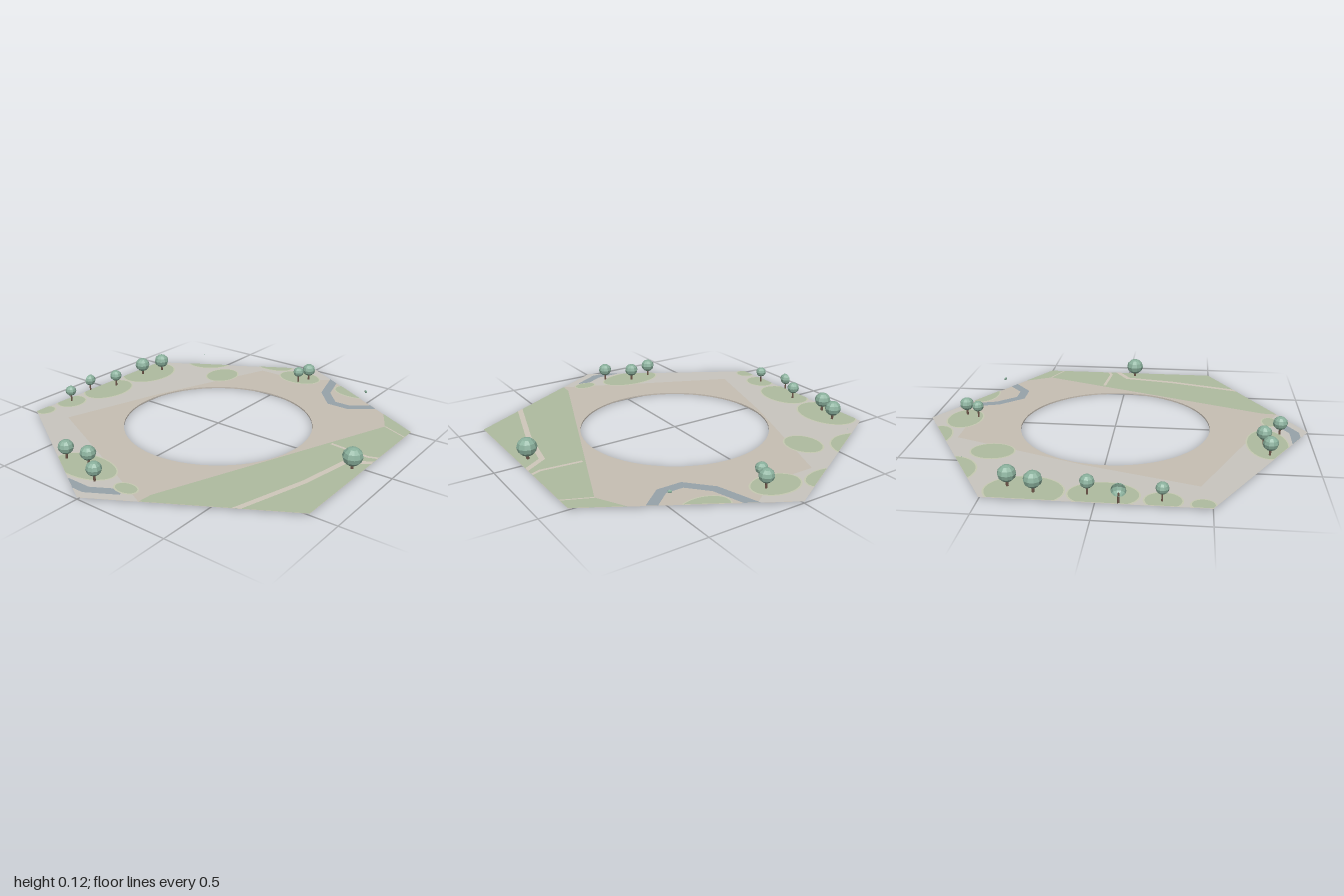
import * as THREE from 'three';

const PLATE_Y = 0.008, HOLE_R = 0.497;
const hex = Array.from({ length: 6 }, (_, i) =>
  [Math.cos(i * Math.PI / 3), Math.sin(i * Math.PI / 3)]);

const material = (color, opts = {}) => new THREE.MeshStandardMaterial({ color, ...opts });
const mats = {
  soil: material(0xc6beb3, { side: THREE.DoubleSide }),
  paving: material(0xc8c5be),
  grass: material(0xaebb9f),
  rim: material(0xc6c9b2),
  path: material(0xcfc7ba),
  water: material(0x97a2a9),
  foliage: material(0x8ab09c, { flatShading: true, side: THREE.DoubleSide }),
  trunk: material(0x6b5347, { flatShading: true, side: THREE.DoubleSide }),
};

// Keep the part of an [x, z] outline that lies inside the hexagon
function clipToHex(points) {
  let out = points;
  for (let i = 0; i < 6; i++) {
    const a = (i + 0.5) * Math.PI / 3, nx = Math.cos(a), nz = Math.sin(a);
    const dist = (p) => p[0] * nx + p[1] * nz - Math.sqrt(3) / 2;
    const next = [];
    out.forEach((p, j) => {
      const q = out[(j + 1) % out.length], dp = dist(p), dq = dist(q);
      if (dp <= 0) next.push(p);
      if ((dp < 0 && dq > 0) || (dp > 0 && dq < 0)) {
        const t = dp / (dp - dq);
        next.push([p[0] + t * (q[0] - p[0]), p[1] + t * (q[1] - p[1])]);
      }
    });
    out = next;
  }
  return out;
}

const toShape = (points) =>
  new THREE.Shape(points.map(([x, z]) => new THREE.Vector2(x, -z)));

function flat(name, shape, mat, y) {
  const mesh = new THREE.Mesh(new THREE.ShapeGeometry(shape, 32).rotateX(-Math.PI / 2), mat);
  mesh.name = name;
  mesh.position.y = y;
  return mesh;
}

// Flat patch on the plate; layers are stacked slightly to avoid overlap
const patch = (name, points, mat, layer) =>
  flat(name, toShape(clipToHex(points)), mat, PLATE_Y + layer * 0.0008);

const ellipse = (x, z, rx, rz) => Array.from({ length: 40 }, (_, i) => {
  const a = i / 40 * Math.PI * 2;
  return [x + rx * Math.cos(a), z + rz * Math.sin(a)];
});

// Outline of a constant-width strip with mitred corners
function strip(line, width) {
  const left = [], right = [];
  const pts = line.map(([x, z]) => new THREE.Vector2(x, z));
  pts.forEach((p, i) => {
    const d0 = p.clone().sub(pts[Math.max(i - 1, 0)]).normalize();
    const d1 = pts[Math.min(i + 1, pts.length - 1)].clone().sub(p).normalize();
    const dir = d0.clone().add(d1).normalize();
    const ref = i === 0 ? d1 : d0;
    const w = width / 2 / Math.max(dir.dot(ref), 0.5);
    left.push([p.x - dir.y * w, p.y + dir.x * w]);
    right.unshift([p.x + dir.y * w, p.y - dir.x * w]);
  });
  return [...left, ...right];
}

// Ball-crowned tree; a half tree is cut open at the plate's back edge
function tree(x, z, r, half = false) {
  const g = new THREE.Group();
  g.name = half ? 'halfTree' : 'tree';
  const arc = half ? Math.PI : Math.PI * 2;
  const crown = new THREE.Mesh(
    new THREE.SphereGeometry(r, half ? 5 : 10, 6, 0, arc), mats.foliage);
  crown.name = 'crown';
  crown.scale.y = 0.92;
  crown.position.y = 0.073;
  const trunk = new THREE.Mesh(
    new THREE.CylinderGeometry(r * 0.13, r * 0.16, 0.052, half ? 3 : 6, 1, true,
      half ? -Math.PI / 2 : 0, arc), mats.trunk);
  trunk.name = 'trunk';
  trunk.position.y = PLATE_Y + 0.026;
  g.add(crown, trunk);
  g.position.set(x, 0, z);
  return g;
}

export function createModel() {
  const model = new THREE.Group();
  model.name = 'hexagonalParkTile';

  // Hexagonal plate with a round opening and its short wall
  const plate = toShape(hex);
  plate.holes.push(new THREE.Path().absarc(0, 0, HOLE_R, 0, Math.PI * 2, true));
  model.add(flat('plate', plate, mats.soil, PLATE_Y));
  const wall = new THREE.Mesh(
    new THREE.CylinderGeometry(HOLE_R, HOLE_R, PLATE_Y, 64, 1, true), mats.soil);
  wall.name = 'openingWall';
  wall.position.y = PLATE_Y / 2;
  model.add(wall);

  // Paved zone along the back and sides
  model.add(patch('pavedZone', [
    [-1, 0], [-0.5, -0.866], [0.5, -0.866], [1, 0], [0.9, 0.17], [0.78, 0],
    [0.78, -0.25], [0.1, -0.505], [-0.45, -0.67], [-0.66, -0.2], [-0.864, 0.235],
  ], mats.paving, 1));

  // Large lawn at the front, with footpaths
  model.add(patch('frontLawn', [
    [-0.88, 0.235], [-0.79, 0.24], [0.48, 0.73], [0.7, 0.61], [0.6, 0.9], [-0.6, 0.9],
  ], mats.grass, 2));
  const paths = [
    [0.028, [[-0.72, 0.58], [-0.64, 0.605], [-0.28, 0.71], [0, 0.76], [0.09, 0.9]]],
    [0.017, [[0.13, 0.61], [0.11, 0.82], [0.14, 0.9]]],
    [0.008, [[0.48, 0.73], [0.41, 0.89]]],
  ];
  for (const [w, line] of paths) model.add(patch('footpath', strip(line, w), mats.path, 3));

  // Streams
  const streams = [
    [[0.98, 0.165], [0.9, 0.19], [0.7, 0.25], [0.59, 0.35], [0.59, 0.46], [0.7, 0.59]],
    [[-0.93, -0.2], [-0.93, -0.02], [-0.85, 0.12]],
  ];
  for (const line of streams) model.add(patch('stream', strip(line, 0.05), mats.water, 2));

  // Oval lawns with pale rims: x, z, radius x, radius z
  const lawns = [
    [-0.46, -0.84, 0.05, 0.045], [-0.29, -0.82, 0.08, 0.07], [-0.03, -0.79, 0.155, 0.11],
    [0.32, -0.79, 0.175, 0.135], [0.73, -0.63, 0.145, 0.15], [0.56, -0.4, 0.105, 0.085],
    [0.9, -0.25, 0.08, 0.13], [0.815, 0, 0.09, 0.125], [0.81, 0.38, 0.08, 0.12],
    [-0.78, -0.18, 0.1, 0.175], [-0.815, 0.115, 0.038, 0.058],
  ];
  for (const [x, z, rx, rz] of lawns) {
    model.add(patch('lawnRim', ellipse(x, z, rx + 0.008, rz + 0.008), mats.rim, 3));
    model.add(patch('lawn', ellipse(x, z, rx, rz), mats.grass, 4));
  }

  // Trees: x, z, crown radius
  const trees = [
    [-0.285, -0.825, 0.03], [0.04, -0.795, 0.034], [0.275, -0.8, 0.043], [0.4, -0.755, 0.043],
    [-0.78, -0.31, 0.039], [-0.76, -0.18, 0.039], [-0.852, -0.045, 0.038],
    [0.82, 0.06, 0.038], [0.75, 0.03, 0.031], [-0.04, 0.815, 0.05],
  ];
  for (const t of trees) model.add(tree(...t));
  model.add(tree(-0.103, -0.866, 0.034, true));

  // Slivers of crowns cut off by the slanted edges
  for (const [x, z, r] of [[0.712, 0.495, 0.012], [0.647, -0.61, 0.004]]) {
    const sliver = new THREE.Mesh(new THREE.SphereGeometry(r, 6, 4), mats.foliage);
    sliver.name = 'crownSliver';
    sliver.scale.set(0.4, 0.7, 1);
    sliver.rotation.y = -Math.sign(z) * Math.PI / 6;
    sliver.position.set(x, 0.073, z);
    model.add(sliver);
  }
  return model;
}
